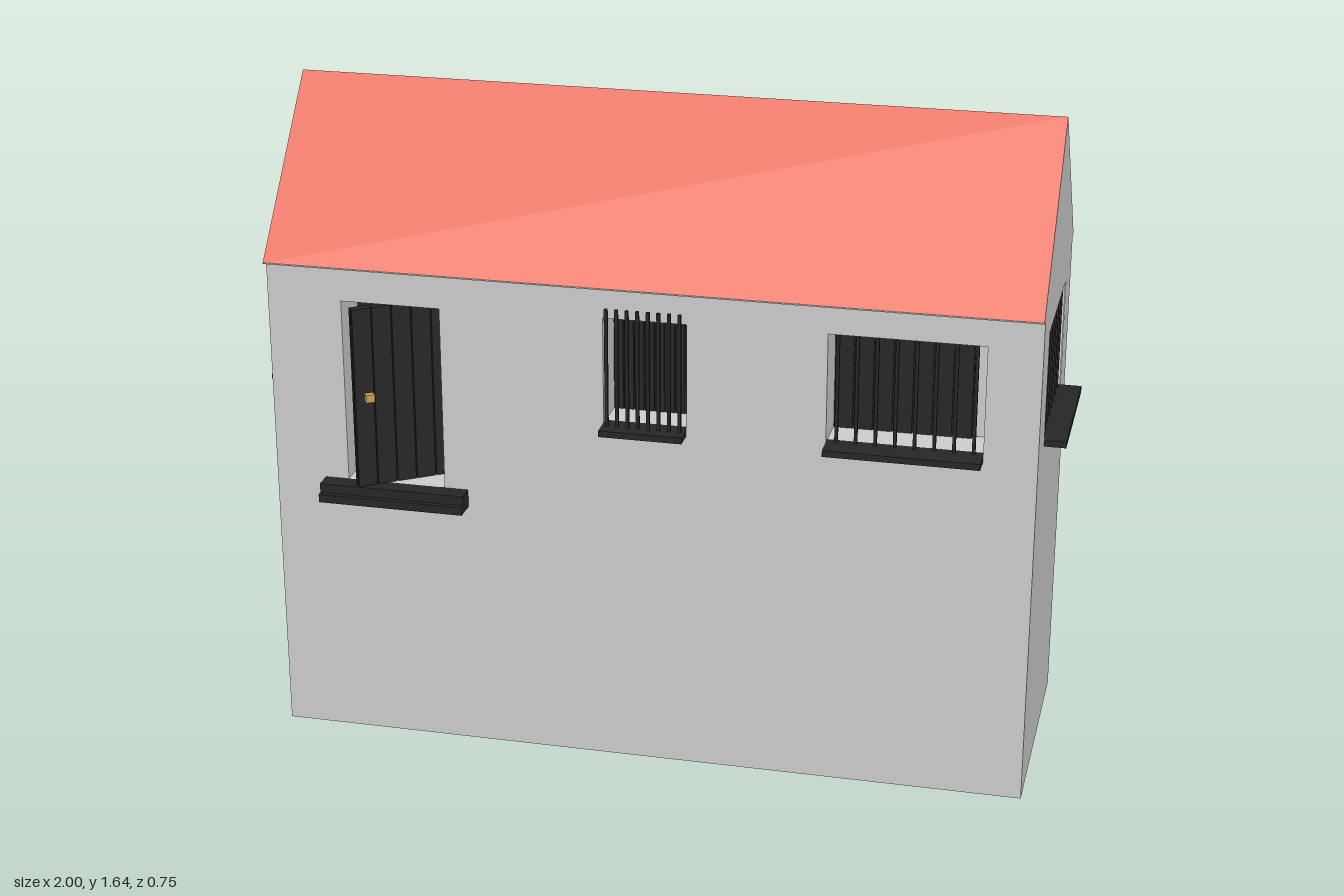
import * as THREE from 'three';

const W = 0.947, D = 0.317, EAVE = 1.25, RIDGE = 1.645, OVER = 0.34, DEPTH = 0.12;
const mat = (color) => new THREE.MeshStandardMaterial({ color, side: THREE.DoubleSide });
const wallMat = mat(0xcccccc), roofMat = mat(0xe25d45), darkMat = mat(0x262626), brassMat = mat(0xc9a04e);

function box(parent, name, material, w, h, d, x, y, z) {
  const m = new THREE.Mesh(new THREE.BoxGeometry(w, h, d), material);
  m.name = name;
  m.position.set(x, y, z);
  parent.add(m);
  return m;
}

// flat wall with rectangular openings
function wall(name, outline, openings) {
  const shape = new THREE.Shape(outline.map(([x, y]) => new THREE.Vector2(x, y)));
  for (const { x, y, w, h } of openings) {
    shape.holes.push(new THREE.Path([
      [x - w / 2, y], [x - w / 2, y + h], [x + w / 2, y + h], [x + w / 2, y],
    ].map((p) => new THREE.Vector2(...p))));
  }
  const m = new THREE.Mesh(new THREE.ShapeGeometry(shape), wallMat);
  m.name = name;
  return m;
}

// boxed-in recess behind an opening
function recess({ x, y, w, h }, backMat) {
  const g = new THREE.Group(), t = 0.004;
  g.name = 'recess';
  for (const s of [-1, 1]) {
    box(g, 'reveal', wallMat, t, h, DEPTH, x + s * (w + t) / 2, y + h / 2, -DEPTH / 2 - 0.001);
  }
  box(g, 'recessTop', wallMat, w, t, DEPTH, x, y + h + t / 2, -DEPTH / 2 - 0.001);
  box(g, 'recessBottom', wallMat, w, t, DEPTH, x, y - t / 2, -DEPTH / 2 - 0.001);
  box(g, 'recessBack', backMat, w, h, t, x, y + h / 2, -DEPTH - t / 2);
  return g;
}

// row of upright boards, starting at x0
function planks(parent, x0, y, z, w, h, count, d = 0.01) {
  const pw = w / count;
  for (let i = 0; i < count; i++) {
    box(parent, 'plank', darkMat, pw - 0.003, h, d, x0 + pw * (i + 0.5), y + h / 2, z);
  }
  box(parent, 'plankBacking', darkMat, w, h, d * 0.6, x0 + w / 2, y + h / 2, z - d * 0.3);
}

// barred window; the shutter leaves a gap on one side
function barredWindow(o, { gapSide = 0, bars, barZ, barTop, boards }) {
  const g = new THREE.Group();
  g.name = 'window';
  g.add(recess(o, wallMat));
  const gap = gapSide ? 0.04 : 0;
  const x0 = o.x - o.w / 2 + (gapSide < 0 ? gap : 0);
  planks(g, x0, o.y, -DEPTH + 0.012, o.w - gap, o.h - 0.008, boards);
  for (let i = 0; i < bars; i++) {
    const x = o.x + o.w * ((i + 0.5) / bars - 0.5);
    box(g, 'bar', darkMat, 0.008, barTop - o.y, 0.008, x, (o.y + barTop) / 2, barZ);
  }
  box(g, 'windowSill', darkMat, o.w, 0.016, 0.073, o.x, o.y - 0.007, 0.0165);
  return g;
}

// door standing ajar above a stepped threshold
function door(o) {
  const g = new THREE.Group();
  g.name = 'door';
  g.add(recess(o, darkMat));
  const leaf = new THREE.Group();
  leaf.name = 'doorLeaf';
  planks(leaf, -0.25, 0, 0, 0.25, o.h - 0.006, 5, 0.02);
  box(leaf, 'doorHandle', brassMat, 0.022, 0.02, 0.022, -0.215, 0.235, 0.016);
  leaf.position.set(o.x + o.w / 2 - 0.008, o.y + 0.002, -DEPTH + 0.016);
  leaf.rotation.y = 0.61;
  g.add(leaf);
  box(g, 'upperStep', darkMat, 0.37, 0.024, 0.055, o.x, o.y - 0.012, 0.0175);
  box(g, 'lowerStep', darkMat, 0.37, 0.021, 0.068, o.x, o.y - 0.0345, 0.024);
  return g;
}

// one long wall, one gable end and one roof slope
function half() {
  const g = new THREE.Group();
  g.name = 'houseHalf';
  const doorHole = { x: -0.635, y: 0.69, w: 0.25, h: 0.47 };
  const smallHole = { x: 0, y: 0.9, w: 0.205, h: 0.27 };
  const wideHole = { x: 0.63, y: 0.9, w: 0.375, h: 0.275 };
  const sideHole = { x: 0, y: 0.9, w: 0.375, h: 0.275 };

  const long = new THREE.Group();
  long.name = 'longSide';
  long.position.z = D;
  long.add(
    wall('longWall', [[-W, 0], [W, 0], [W, EAVE], [-W, EAVE]], [doorHole, smallHole, wideHole]),
    door(doorHole),
    barredWindow(smallHole, { bars: 8, barZ: 0.018, barTop: 1.2, boards: 8 }),
    barredWindow(wideHole, { gapSide: 1, bars: 8, barZ: -0.008, barTop: 1.175, boards: 7 }),
  );

  const end = new THREE.Group();
  end.name = 'gableEnd';
  end.position.x = W;
  end.rotation.y = Math.PI / 2;
  end.add(
    wall('gableWall', [[-D, 0], [D, 0], [D, EAVE], [OVER, EAVE], [0, RIDGE], [-OVER, EAVE], [-D, EAVE]], [sideHole]),
    barredWindow(sideHole, { gapSide: -1, bars: 8, barZ: -0.008, barTop: 1.175, boards: 7 }),
  );

  // roof slope and the soffit under its eave
  const rise = RIDGE - EAVE;
  const roof = new THREE.Mesh(new THREE.PlaneGeometry(2 * W, Math.hypot(OVER, rise)), roofMat);
  roof.name = 'roofSlope';
  roof.position.set(0, (RIDGE + EAVE) / 2, OVER / 2);
  roof.rotation.x = -Math.atan2(OVER, rise);
  box(g, 'soffit', wallMat, 2 * W, 0.003, OVER - D, 0, EAVE, (OVER + D) / 2);
  g.add(long, end, roof);
  return g;
}

export function createModel() {
  const house = new THREE.Group();
  house.name = 'house';
  const front = half(), back = half();
  back.rotation.y = Math.PI;
  house.add(front, back);
  return house;
}
